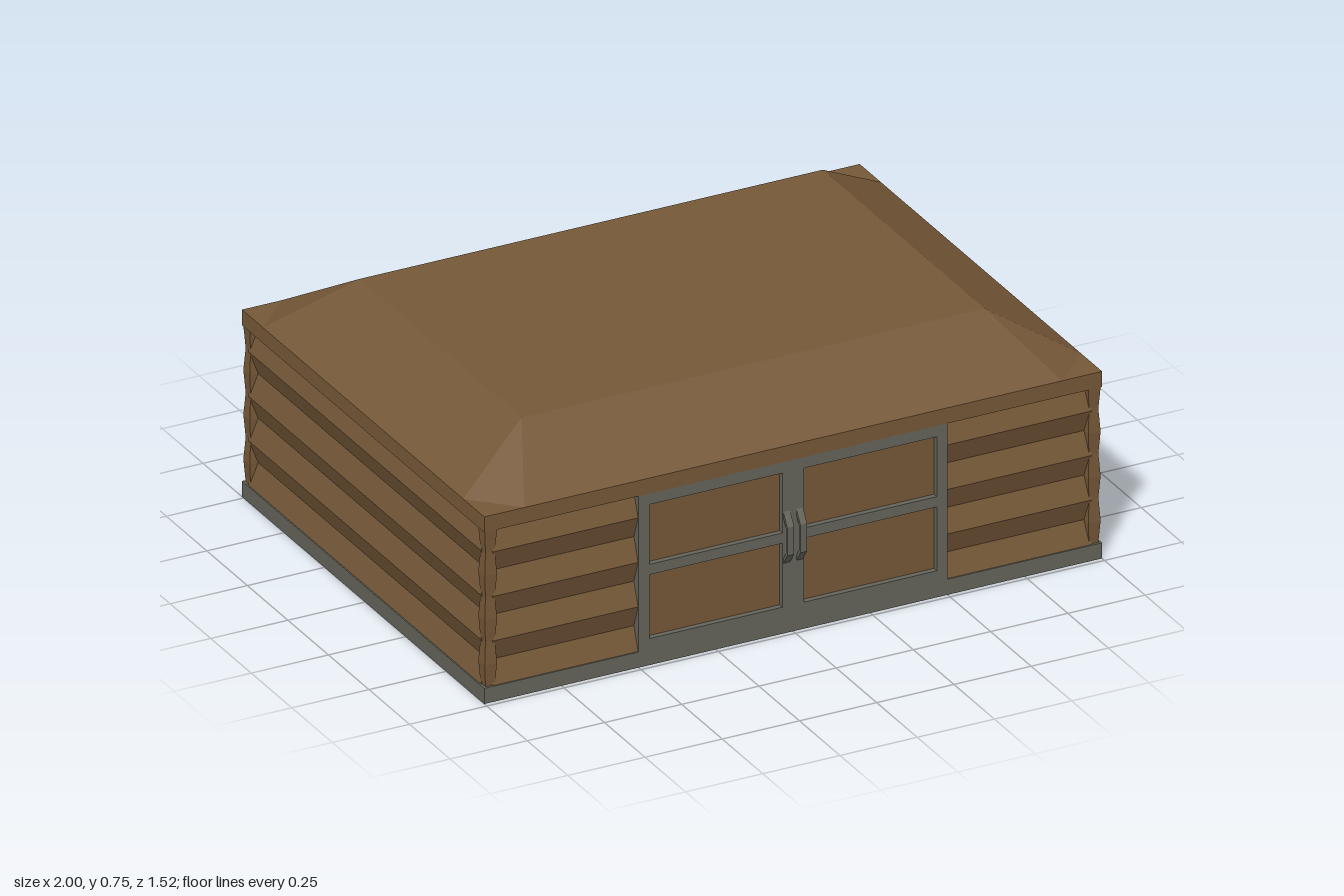
import * as THREE from 'three';

const CZ = -0.0125, HX = 1, HZ = 0.7475; // body centre and half sizes
const WALL0 = 0.05, WALL1 = 0.55, BANDS = 7;

export function createModel() {
  const group = new THREE.Group();
  const wood = new THREE.MeshStandardMaterial({ color: 0x755838, flatShading: true });
  wood.name = 'brown wood';
  const metal = new THREE.MeshStandardMaterial({ color: 0x64645a, flatShading: true });
  metal.name = 'grey trim';

  const add = (name, geo, mat, x = 0, y = 0, z = 0) => {
    const m = new THREE.Mesh(geo, mat);
    m.name = name;
    m.position.set(x, y, z);
    group.add(m);
    return m;
  };
  const box = (name, mat, w, h, d, x, y, z) => add(name, new THREE.BoxGeometry(w, h, d), mat, x, y, z);

  // Foundation, inner core and eave
  box('foundation', metal, 2 * HX, 0.05, 2 * HZ, 0, 0.025, CZ);
  box('core', wood, 1.9, 0.5, 2 * HZ - 0.1, 0, 0.3, CZ);
  box('eave', wood, 2 * HX, 0.05, 2 * HZ, 0, 0.575, CZ);

  // Ribbed siding: zigzag section pulled along the wall, outward is +x of the section
  const siding = (name, length, x, z, turn) => {
    const s = new THREE.Shape();
    s.moveTo(-0.06, WALL0);
    for (let i = 0; i <= BANDS; i++) {
      s.lineTo(i % 2 ? -0.03 : -0.004, WALL0 + (WALL1 - WALL0) * i / BANDS);
    }
    s.lineTo(-0.06, WALL1);
    const geo = new THREE.ExtrudeGeometry(s, { depth: length, bevelEnabled: false });
    geo.translate(0, 0, -length / 2);
    add(name, geo, wood, x, 0, z).rotation.y = turn;
  };
  const sideLength = 2 * HZ - 0.06;
  siding('leftSiding', sideLength, HX, CZ, 0);
  siding('rightSiding', sideLength, -HX, CZ, Math.PI);
  siding('backSiding', 2 * HX - 0.06, 0, CZ - HZ, Math.PI / 2);
  for (const sx of [-1, 1]) siding('frontSiding', 0.48, sx * 0.73, CZ + HZ, -Math.PI / 2);

  // Corner posts, slightly waisted between the ribs
  for (const sx of [-1, 1]) for (const sz of [-1, 1]) {
    const geo = new THREE.BoxGeometry(0.04, WALL1 - WALL0, 0.04, 1, BANDS, 1);
    const p = geo.attributes.position;
    for (let i = 0; i < p.count; i++) {
      const row = Math.round((p.getY(i) / (WALL1 - WALL0) + 0.5) * BANDS);
      const k = row % 2 ? 1 : 0.75;
      p.setX(i, p.getX(i) * k);
      p.setZ(i, p.getZ(i) * k);
    }
    add('cornerPost', geo, wood, sx * (HX - 0.023), 0.3, CZ + sz * (HZ - 0.023));
  }

  // Hipped roof: octagonal foot with cut corners rising to a flat rectangle
  const cut = 0.13, tx = 0.75, tz = 0.5;
  const foot = [], crown = [];
  for (const [sx, sz] of [[1, 1], [1, -1], [-1, -1], [-1, 1]]) {
    const a = [sx * (HX - cut), 0.6, sz * HZ], b = [sx * HX, 0.6, sz * (HZ - cut)];
    foot.push(...(sx * sz > 0 ? [a, b] : [b, a]));
    crown.push([sx * tx, 0.75, sz * tz]);
  }
  const tris = [];
  for (let i = 0; i < 4; i++) {
    const a = foot[2 * i], b = foot[2 * i + 1], c = foot[(2 * i + 2) % 8];
    const t = crown[i], u = crown[(i + 1) % 4];
    tris.push(a, b, t, b, c, u, b, u, t);
  }
  tris.push(crown[0], crown[1], crown[2], crown[0], crown[2], crown[3]);
  const roof = new THREE.BufferGeometry();
  roof.setAttribute('position', new THREE.Float32BufferAttribute(tris.flat(), 3));
  roof.computeVertexNormals();
  add('roof', roof, wood, 0, 0, CZ);

  // Double door: frame with four openings and recessed panels
  const front = CZ + HZ;
  const frame = new THREE.Shape([[-0.5, 0.05], [0.5, 0.05], [0.5, 0.55], [-0.5, 0.55]]
    .map(([x, y]) => new THREE.Vector2(x, y)));
  for (const x of [-0.465, 0.035]) for (const [y0, y1] of [[0.085, 0.29], [0.323, 0.515]]) {
    frame.holes.push(new THREE.Path([[x, y0], [x, y1], [x + 0.43, y1], [x + 0.43, y0]]
      .map(([px, py]) => new THREE.Vector2(px, py))));
    box('doorPanel', wood, 0.43, y1 - y0, 0.03, x + 0.215, (y0 + y1) / 2, front - 0.033);
  }
  add('doorFrame', new THREE.ExtrudeGeometry(frame, { depth: 0.05, bevelEnabled: false }),
    metal, 0, 0, front - 0.05);

  // Pair of bent door handles
  const handle = new THREE.Shape([[0, 0.39], [0.025, 0.35], [0.025, 0.26], [0, 0.225],
    [0, 0.24], [0.016, 0.265], [0.016, 0.345], [0, 0.372]].map(([x, y]) => new THREE.Vector2(x, y)));
  for (const sx of [-1, 1]) {
    const geo = new THREE.ExtrudeGeometry(handle, { depth: 0.022, bevelEnabled: false });
    geo.translate(0, 0, -0.011);
    add('doorHandle', geo, metal, sx * 0.021, 0, front).rotation.y = -Math.PI / 2;
  }
  return group;
}
